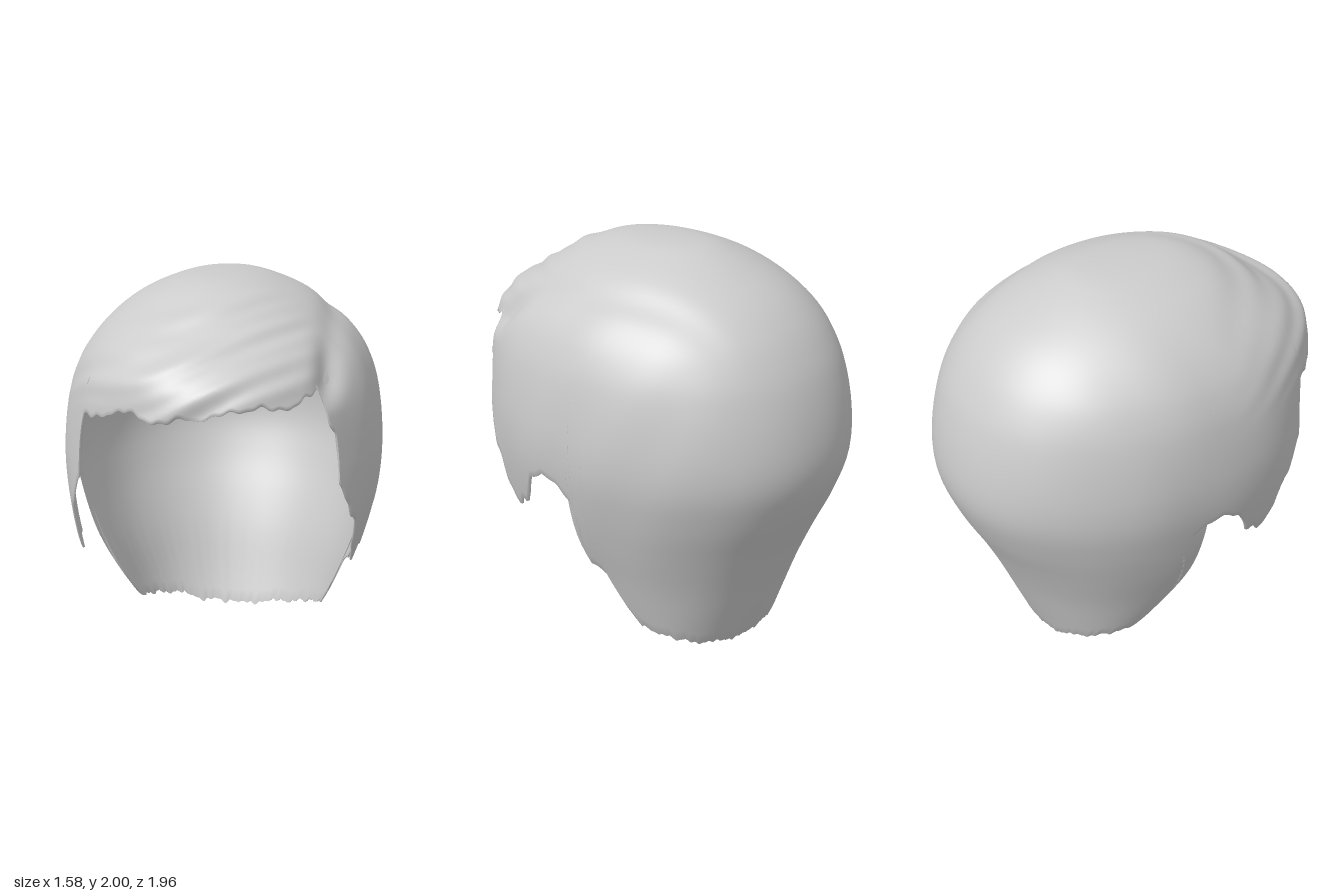
import * as THREE from 'three';
import { mergeVertices } from 'three/addons/utils/BufferGeometryUtils.js';

// Horizontal sections of the head of hair: y, half width, front z, back z, middle z
const SECTIONS = [
  [2, 0, 0.03, 0.03, 0.03], [1.99, 0.15, 0.25, -0.21, 0.03], [1.95, 0.29, 0.42, -0.36, 0.03],
  [1.9, 0.4, 0.53, -0.475, 0.03], [1.8, 0.54, 0.69, -0.65, 0.02], [1.7, 0.635, 0.86, -0.76, 0.01],
  [1.6, 0.7, 0.955, -0.835, 0], [1.45, 0.755, 0.985, -0.91, 0], [1.2, 0.79, 1, -0.97, 0],
  [1, 0.785, 1.03, -0.97, 0], [0.8, 0.745, 1.12, -0.9, 0], [0.6, 0.685, 1.2, -0.8, -0.02],
  [0.4, 0.605, 1.1, -0.71, -0.08], [0.2, 0.52, 0.8, -0.63, -0.18], [0, 0.43, 0.5, -0.55, -0.28],
];
const ROUND = 2.1; // superellipse exponent of the sections
const COLUMNS = 520, ROWS = 56;

const spow = (v, e) => Math.sign(v) * Math.pow(Math.min(1, Math.abs(v)), e);
const smooth = THREE.MathUtils.smoothstep;
const depth = (y) => Math.sqrt(Math.max(0, 2 - y));

// Smooth interpolation of the sections, spaced evenly over the dome
function section(y) {
  const q = depth(y), last = SECTIONS.length - 1;
  let i = 0;
  while (i < last - 1 && depth(SECTIONS[i + 1][0]) < q) i++;
  const at = (k) => SECTIONS[Math.min(last, Math.max(0, k))];
  const Q = (k) => depth(at(k)[0]);
  const h = Q(i + 1) - Q(i), t = Math.min(1, (q - Q(i)) / h);
  const slope = (k, c) => (at(k + 1)[c] - at(k - 1)[c]) / (Q(k + 1) - Q(k - 1));
  const [w, zf, zb, zc] = [1, 2, 3, 4].map((c) => {
    const a = at(i)[c], b = at(i + 1)[c], t2 = t * t, t3 = t2 * t;
    return a * (2 * t3 - 3 * t2 + 1) + b * (3 * t2 - 2 * t3)
      + h * slope(i, c) * (t3 - 2 * t2 + t) + h * slope(i + 1, c) * (t3 - t2);
  });
  return { w, zf, zb, zc };
}

// Angle around the head (0 = front, positive towards +x) of a hem point
const angleFromX = (x, y) => Math.asin(spow(x / section(y).w, ROUND / 2));
function angleFromZ(z, y) {
  const s = section(y);
  return Math.acos(spow((z - s.zc) / (z > s.zc ? s.zf - s.zc : s.zc - s.zb), ROUND / 2));
}

// Hem: side edges as (z, y), fringe and nape as (x, y)
const SIDEBURN = [[0.66, 1.36], [0.655, 1.28], [0.66, 1.12], [0.6, 1.0], [0.51, 0.89], [0.49, 0.77],
  [0.44, 0.7], [0.39, 0.65], [0.34, 0.71], [0.3, 0.7], [0.25, 0.81], [0.2, 0.89], [0.1, 0.935], [0, 0.92]];
const SIDE_A = [[0.69, 1.42], ...SIDEBURN, [-0.08, 0.85], [-0.1, 0.7], [-0.09, 0.48], [-0.19, 0.43],
  [-0.23, 0.26], [-0.29, 0.14]];
const SIDE_B = [...SIDEBURN, [-0.07, 0.85], [-0.09, 0.7], [-0.07, 0.42], [-0.11, 0.32], [-0.18, 0.2],
  [-0.24, 0.15]];
const FRINGE = [[-0.58, 1.42], [-0.45, 1.45], [-0.33, 1.49], [-0.2, 1.46], [0, 1.49], [0.2, 1.53],
  [0.4, 1.52], [0.52, 1.57]];
const NAPE_A = [[0.32, 0.06], [0.2, 0.03]], NAPE_B = [[-0.22, 0.03], [-0.34, 0.08]];

function hemColumns() {
  const hem = [
    [-Math.PI, 0.005],
    ...NAPE_B.map(([x, y]) => [-Math.PI - angleFromX(x, y), y]),
    ...SIDE_B.map(([z, y]) => [-angleFromZ(z, y), y]).reverse(),
    ...FRINGE.map(([x, y]) => [angleFromX(x, y), y]),
    ...SIDE_A.map(([z, y]) => [angleFromZ(z, y), y]),
    ...NAPE_A.map(([x, y]) => [Math.PI - angleFromX(x, y), y]),
    [Math.PI, 0.005],
  ];
  // Each column has a hem angle (x) and a crown angle (z) that always advances around the head
  const path = new THREE.CurvePath();
  let previous;
  for (const [angle, y] of hem) {
    const crown = previous ? Math.min(Math.PI, Math.max(angle, previous.z + 0.01)) : angle;
    const point = new THREE.Vector3(angle, y, crown);
    if (previous) path.add(new THREE.LineCurve3(previous, point));
    previous = point;
  }
  return Array.from({ length: COLUMNS }, (_, i) => {
    const p = path.getPointAt(i / COLUMNS);
    // Ragged tips
    const jag = 0.008 * Math.sin(i * 0.31 + 2 * Math.sin(i * 0.07))
      + 0.009 * Math.sin(i * 0.83 + 2) * Math.sin(i * 0.17);
    return { angle: p.x, crown: p.z, y: Math.max(0, p.y + jag) };
  });
}

// Relief: parting groove, swept fringe locks and faint side locks
function relief(x, y, z) {
  const partX = 0.54 - 0.2 * smooth(-z, -0.1, 0.9) + 0.02 * smooth(z, 0.1, 0.6);
  const groove = Math.exp(-(((x - partX) / 0.06) ** 2)) * smooth(y, 1.45, 1.62)
    * smooth(z, -0.85, -0.2) * (0.016 + 0.03 * smooth(z, 0.35, 0.6));
  const front = smooth(z, 0.1, 0.7) * smooth(y, 1.35, 1.5) * smooth(partX - x, 0, 0.2);
  const phase = y - 0.45 * x - 0.25 * z + 0.05 * Math.sin(5 * x + 3 * z);
  const locks = (0.004 + 0.003 * Math.sin(4 * x + 2)) * Math.sin(29 * phase)
    + 0.003 * Math.sin(53 * phase + 4 * x);
  const sides = 0.004 * Math.sin(13 * z + 2 * y) * Math.sin(5 * y + 3 * z) * smooth(Math.abs(x), 0.3, 0.7);
  return front * locks + sides - groove;
}

// Point of the hair; inset moves it inwards for the lining
function hairPoint(angle, y, inset) {
  const { w, zf, zb, zc } = section(y);
  const s = spow(Math.sin(angle), 2 / ROUND), c = spow(Math.cos(angle), 2 / ROUND);
  const p = new THREE.Vector3(w * s, y, zc + c * (c > 0 ? zf - zc : zc - zb));
  const out = new THREE.Vector3(p.x, Math.max(0, y - 1), p.z - zc).normalize();
  return p.addScaledVector(out, (inset ? 0.4 : 1) * relief(p.x, p.y, p.z) - inset);
}

// Outer skin runs from crown to hem, then the lining runs back up to the crown
function hairGeometry() {
  const columns = hemColumns(), position = [], index = [];
  const total = 2 * (ROWS + 1);
  for (let j = 0; j < total; j++) {
    const lining = j > ROWS;
    const t = (lining ? total - 1 - j : j) / ROWS;
    const inset = lining ? 0.01 + 0.015 * smooth(1 - t, 0, 0.15) : 0;
    for (const col of columns) {
      const y = 2 - (2 - col.y) * t ** 1.8;
      const angle = THREE.MathUtils.lerp(col.crown, col.angle, smooth(t, 0.5, 1));
      position.push(...hairPoint(angle, y, inset).toArray());
    }
  }
  for (let j = 0; j < total - 1; j++) {
    for (let i = 0; i < COLUMNS; i++) {
      const n = (i + 1) % COLUMNS;
      const a = j * COLUMNS + i, b = j * COLUMNS + n, c = a + COLUMNS, d = b + COLUMNS;
      index.push(a, c, b, b, c, d);
    }
  }
  const geometry = new THREE.BufferGeometry();
  geometry.setAttribute('position', new THREE.Float32BufferAttribute(position, 3));
  geometry.setIndex(index);
  const merged = mergeVertices(geometry, 1e-5);
  merged.computeVertexNormals();
  return merged;
}

export function createModel() {
  const group = new THREE.Group();
  group.name = 'hairpiece';
  const material = new THREE.MeshStandardMaterial({ color: 0xcccccc, side: THREE.DoubleSide });
  const hair = new THREE.Mesh(hairGeometry(), material);
  hair.name = 'hair';
  group.add(hair);
  return group;
}
